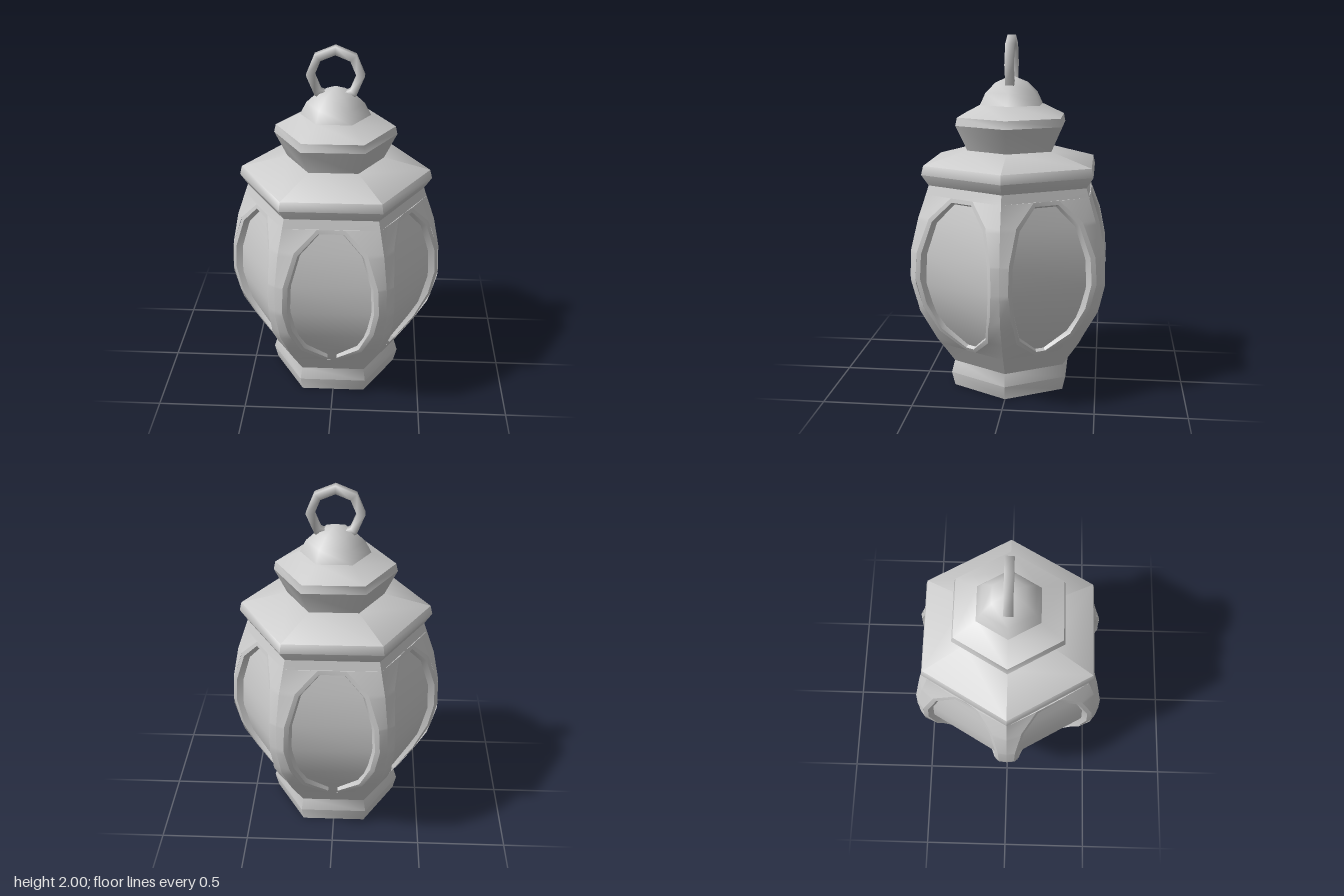
import * as THREE from 'three';
import { toCreasedNormals } from 'three/addons/utils/BufferGeometryUtils.js';

const grey = new THREE.MeshStandardMaterial({ color: 0xcccccc, side: THREE.DoubleSide });

// Body silhouette: [corner radius, height]
const BODY = [[0.36, 0.15], [0.465, 0.3], [0.565, 0.48], [0.605, 0.65], [0.6, 0.82], [0.565, 1.0], [0.5, 1.19]];
// Right half of the oval window, bottom to top: [x, y]
const WINDOW = [[0.03, 0.265], [0.17, 0.37], [0.235, 0.53], [0.262, 0.68], [0.254, 0.83], [0.195, 1.02], [0.075, 1.14]];
const COS30 = Math.cos(Math.PI / 6);

// Linear lookup of a value at height y in a list of [value, y]
function valueAt(list, y) {
  for (let i = 1; i < list.length; i++) {
    const [v0, y0] = list[i - 1], [v1, y1] = list[i];
    if (y <= y1) return v0 + (v1 - v0) * (y - y0) / (y1 - y0);
  }
  return list[list.length - 1][0];
}
const faceDepth = (y) => valueAt(BODY, y) * COS30;

// The panels swell outwards along the sides of the window
const swell = (x) => 0.02 * Math.abs(x) / 0.26;

// Mesh from a grid of points, rows by columns
function gridGeometry(rows, crease) {
  const pos = [], idx = [], n = rows[0].length;
  rows.forEach((r) => r.forEach((p) => pos.push(...p)));
  for (let i = 0; i < rows.length - 1; i++) {
    for (let j = 0; j < n - 1; j++) {
      const a = i * n + j, b = a + n;
      idx.push(a, b, a + 1, b, b + 1, a + 1);
    }
  }
  const g = new THREE.BufferGeometry();
  g.setAttribute('position', new THREE.Float32BufferAttribute(pos, 3));
  g.setIndex(idx);
  return toCreasedNormals(g, crease);
}

function addMesh(parent, name, geometry) {
  const m = new THREE.Mesh(geometry, grey);
  m.name = name;
  parent.add(m);
  return m;
}

// Six-sided turned part with corners on the x axis, smooth around the corners
function hexLathe(profile, crease = 1.1) {
  const pts = profile.map(([r, y]) => new THREE.Vector2(r, y));
  return toCreasedNormals(new THREE.LatheGeometry(pts, 6, Math.PI / 6), crease);
}

// Half of a body panel, from the window edge to the corner
function panelHalf(side) {
  const heights = [...new Set([...BODY, ...WINDOW].map((p) => p[1]))].sort((a, b) => a - b);
  const bottom = WINDOW[0][1], top = WINDOW[WINDOW.length - 1][1];
  const rows = [];
  const addRow = (y, inner) => {
    const z = faceDepth(y), corner = z * Math.tan(Math.PI / 6);
    const pair = [[inner * side, y, z + swell(inner)], [corner * side, y, z]];
    rows.push(side > 0 ? pair.reverse() : pair);
  };
  heights.forEach((y) => {
    const open = y >= bottom && y <= top;
    if (y === bottom) addRow(y, 0);
    addRow(y, open ? valueAt(WINDOW, y) : 0);
    if (y === top) addRow(y, 0);
  });
  return gridGeometry(rows, 0.7);
}

// Bevelled rim from the window edge down to the pane, optionally split at the bottom
function windowRim(split) {
  const loop = [...WINDOW, ...WINDOW.map(([x, y]) => [-x, y]).reverse()];
  if (!split) loop.push(loop[0]);
  const inset = (x, y, k, lift) => {
    const iy = 0.7 + (y - 0.7) * (1 + k) / 2;
    return [x * k, iy, faceDepth(iy) + lift];
  };
  const rows = loop.map(([x, y]) => [
    [x, y, faceDepth(y) + swell(x)],
    inset(x, y, 0.9, swell(x) * 0.6),
    inset(x, y, 0.84, -0.026),
  ]);
  return gridGeometry(rows, 0.6);
}

export function createModel() {
  const model = new THREE.Group();
  model.name = 'lantern';

  // Open foot ring
  addMesh(model, 'base', hexLathe([[0.36, 0], [0.38, 0.08], [0.36, 0.15]]));

  // Panes just inside the body
  addMesh(model, 'glass', hexLathe(BODY.map(([r, y]) => [r - 0.027, y]), 0.7));

  // Six body sides, each with an oval window; front and back rims are split
  const right = panelHalf(1), left = panelHalf(-1);
  const rim = windowRim(false), splitRim = windowRim(true);
  for (let k = 0; k < 6; k++) {
    const side = new THREE.Group();
    side.name = 'bodySide' + (k + 1);
    addMesh(side, 'panelLeft', right);
    addMesh(side, 'panelRight', left);
    addMesh(side, 'windowRim', k % 3 === 0 ? splitRim : rim);
    side.rotation.y = k * Math.PI / 3;
    model.add(side);
  }

  // Roof, flared collar and dome
  addMesh(model, 'roof', hexLathe([[0.5, 1.19], [0.542, 1.25], [0.53, 1.3], [0.27, 1.37]]));
  addMesh(model, 'neck', hexLathe([[0.27, 1.37], [0.34, 1.51]]));
  addMesh(model, 'collarRim', hexLathe([[0.34, 1.51], [0.33, 1.555]]));
  addMesh(model, 'collarTop', hexLathe([[0.33, 1.555], [0.19, 1.62]]));
  addMesh(model, 'dome', hexLathe([[0.195, 1.615], [0.16, 1.685], [0.1, 1.74], [0, 1.78]]));

  // Octagonal carrying ring of square section
  const section = [[0.112, -0.024], [0.158, -0.024], [0.158, 0.024], [0.112, 0.024], [0.112, -0.024]];
  const ringShape = new THREE.LatheGeometry(section.map(([r, y]) => new THREE.Vector2(r, y)), 8);
  const ring = addMesh(model, 'ring', toCreasedNormals(ringShape, 1.6));
  ring.rotation.x = Math.PI / 2;
  ring.position.y = 1.842;

  return model;
}
